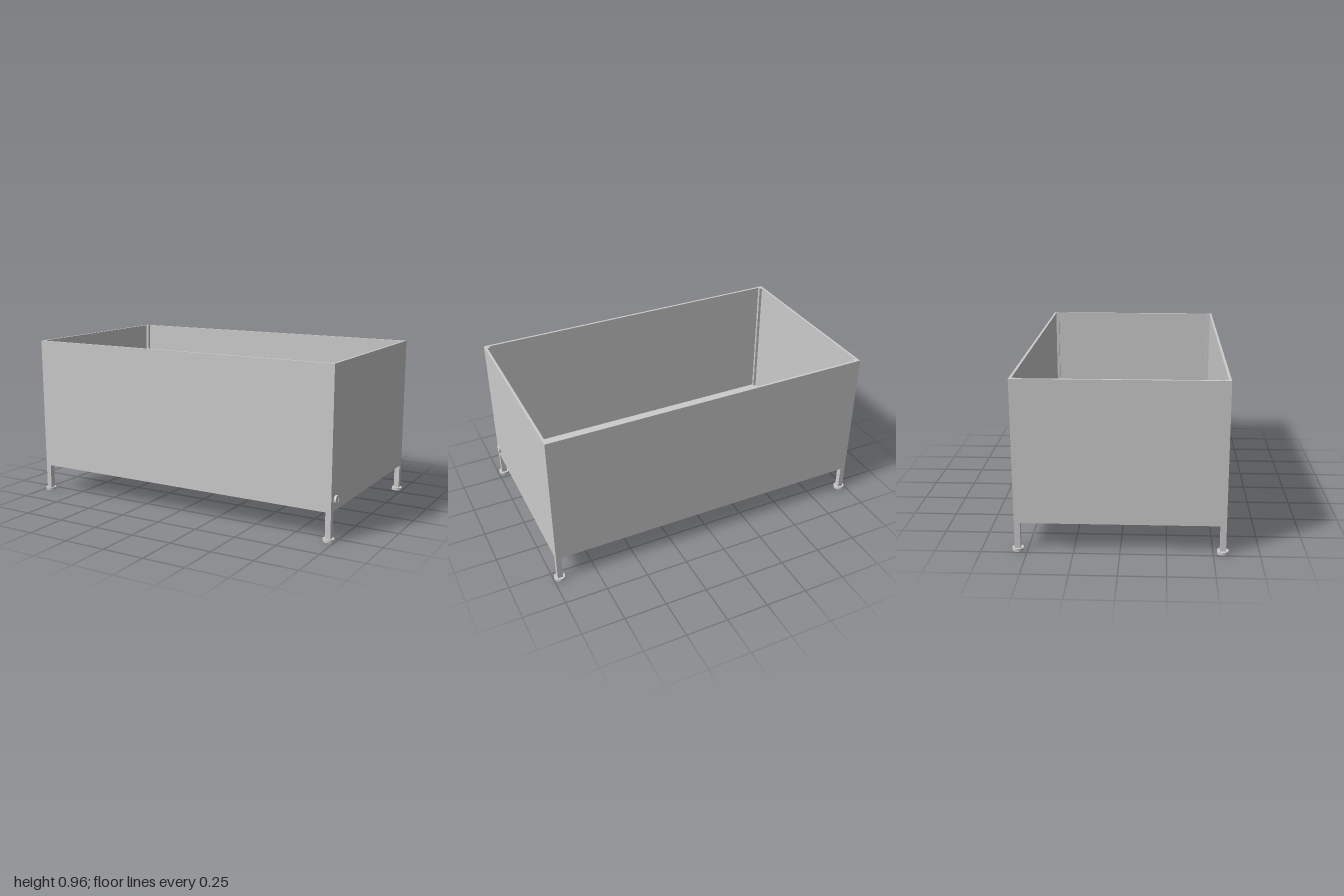
import * as THREE from 'three';

const grey = new THREE.MeshStandardMaterial({ color: 0xcccccc });

export function createModel() {
  const model = new THREE.Group();
  const add = (name, geometry, x, y, z, parent = model) => {
    const mesh = new THREE.Mesh(geometry, grey);
    mesh.name = name;
    mesh.position.set(x, y, z);
    parent.add(mesh);
    return mesh;
  };
  const box = (w, h, d) => new THREE.BoxGeometry(w, h, d);

  // Open tub: outer half sizes, bottom, top and sheet thickness
  const X = 0.98, Z = 0.568, Y0 = 0.162, Y1 = 0.957, T = 0.014;
  const H = Y1 - Y0, YM = (Y0 + Y1) / 2;
  add('floor', box(2 * (X - T), T, 2 * (Z - T)), 0, Y0 + T / 2, 0);
  for (const s of [-1, 1]) {
    add(s > 0 ? 'frontWall' : 'backWall', box(2 * X, H, T), 0, YM, s * (Z - T / 2));
    add(s > 0 ? 'leftWall' : 'rightWall', box(T, H, 2 * (Z - T)), s * (X - T / 2), YM, 0);
  }

  // Corner posts run down as legs onto round feet
  const P = 0.032;
  for (const sx of [-1, 1]) for (const sz of [-1, 1]) {
    const leg = new THREE.Group();
    leg.name = 'cornerLeg';
    leg.position.set(sx * (X - P / 2), 0, sz * (Z - P / 2));
    model.add(leg);
    add('legTube', box(P, Y0 - 0.015, P), 0, (Y0 + 0.015) / 2, 0, leg);
    // Upper post sits inside the walls
    const q = P - T;
    add('innerPost', box(q, H, q), -sx * T / 2, YM, -sz * T / 2, leg);
    add('foot', new THREE.CylinderGeometry(0.032, 0.032, 0.016, 32), 0, 0.008, 0, leg);
  }

  // Drain fitting on the side wall: a short collar with a recessed plug
  const collar = new THREE.Shape().absarc(0, 0, 0.025, 0, Math.PI * 2);
  collar.holes.push(new THREE.Path().absarc(0, 0, 0.02, 0, Math.PI * 2, true));
  const collarGeo = new THREE.ExtrudeGeometry(collar, { depth: 0.012, bevelEnabled: false, curveSegments: 24 });
  add('drainCollar', collarGeo.rotateY(Math.PI / 2), X, 0.223, 0.511);
  const plug = new THREE.CylinderGeometry(0.02, 0.02, 0.01, 24).rotateZ(Math.PI / 2);
  add('drainPlug', plug, X + 0.005, 0.223, 0.511);

  // Rails under the floor
  for (const x of [-0.483, -0.238]) add('rail', box(0.018, 0.025, 0.51), x, 0.15, 0);

  // Headed pin beside the rail
  const pin = new THREE.Group();
  pin.name = 'pin';
  pin.position.set(-0.442, 0.118, 0);
  model.add(pin);
  add('pinShaft', new THREE.CylinderGeometry(0.009, 0.009, 0.07, 20).rotateX(Math.PI / 2), 0, 0, 0.246, pin);
  add('pinHead', new THREE.CylinderGeometry(0.013, 0.013, 0.012, 20).rotateX(Math.PI / 2), 0, 0, 0.285, pin);

  // Two U-shaped wire clips, open towards -x
  const R = 0.06, r = 0.004;
  const points = [[-0.036, -R], [-0.018, -R]];
  for (let i = 0; i <= 12; i++) {
    const a = -Math.PI / 2 + (Math.PI * i) / 12;
    points.push([R * Math.cos(a), R * Math.sin(a)]);
  }
  points.push([-0.018, R], [-0.036, R]);
  const path = new THREE.CatmullRomCurve3(points.map(([x, z]) => new THREE.Vector3(x, 0, z)));
  for (const s of [-1, 1]) {
    const clip = new THREE.Group();
    clip.name = 'wireClip';
    clip.position.set(-0.274, 0.083, s * 0.242);
    model.add(clip);
    add('wire', new THREE.TubeGeometry(path, 48, r, 10), 0, 0, 0, clip);
    for (const e of [-1, 1]) {
      const cap = new THREE.CircleGeometry(r, 10).rotateY(-Math.PI / 2);
      add('wireEnd', cap, -0.036, 0, e * R, clip);
    }
  }
  return model;
}
